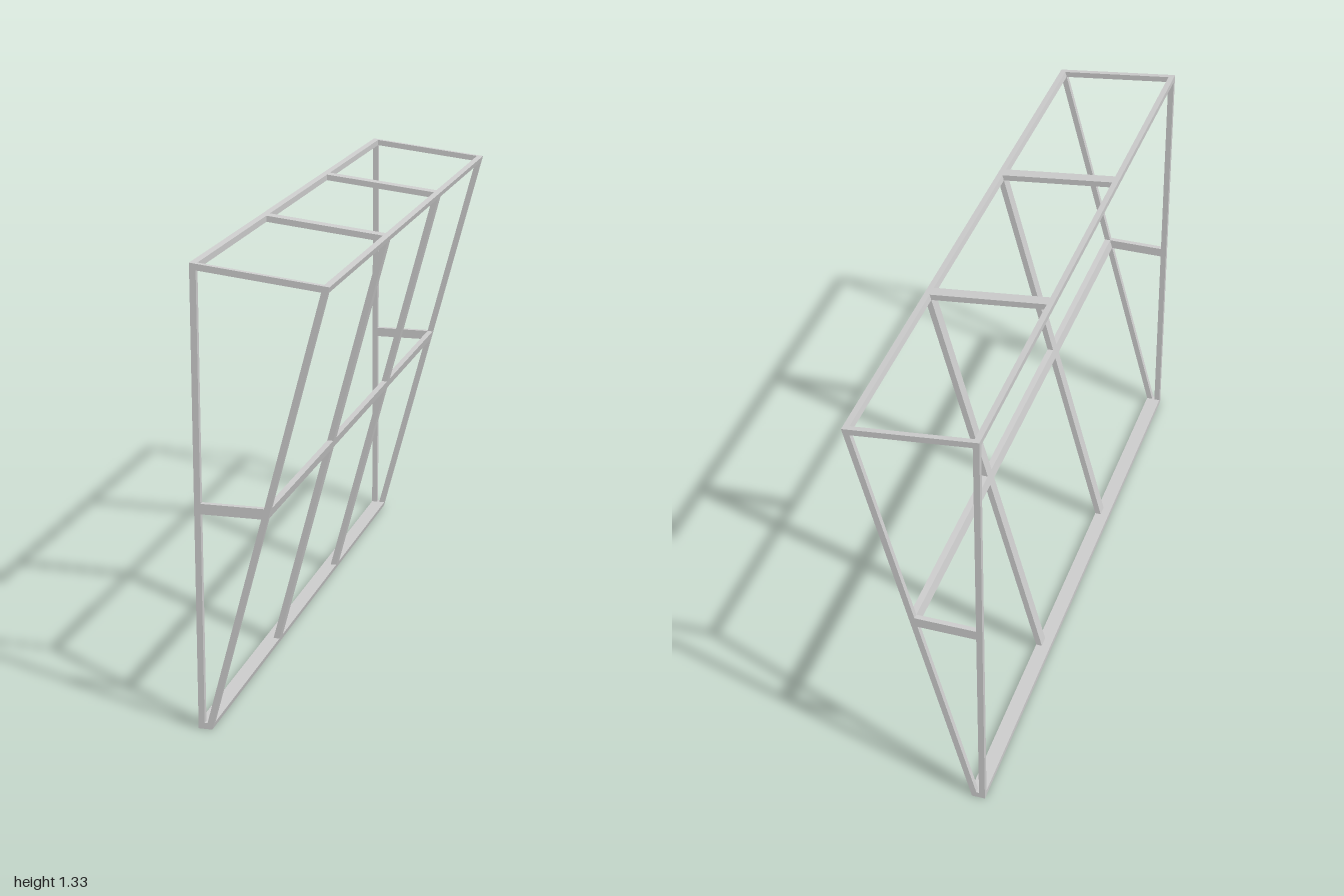
import * as THREE from 'three';

const L = -0.192;          // x of the upright back plane
const T = 0.018;           // bar thickness in the profile
const END = 0.016;         // depth of the end frames
const RIB_Z = 0.334, RIB_W = 0.036;
const MID_LOW = 0.634, MID_HIGH = 0.664;

// Leaning front edge, outer and inner, as x for a given y
const outer = y => -0.152 + 0.2665 * y;
const inner = y => outer(y) - T * 1.035;
// Sloping top edge, as y for a given x
const top = x => 1.333 - 0.115 * (x - L);
const under = x => top(x) - T;
// Where a leaning line crosses a top line
function cross(lean, roof) {
  let y = 1.29;
  for (let i = 0; i < 12; i++) y = roof(lean(y));
  return [lean(y), y];
}

export function createModel() {
  const group = new THREE.Group();
  const material = new THREE.MeshStandardMaterial({ color: 0xcccccc, flatShading: true });
  const toPoints = list => list.map(([x, y]) => new THREE.Vector2(x, y));

  // Extrudes a profile in x,y from z0 to z1
  function bar(name, outline, z0, z1, holes = []) {
    const shape = new THREE.Shape(toPoints(outline));
    for (const h of holes) shape.holes.push(new THREE.Path(toPoints(h)));
    const geometry = new THREE.ExtrudeGeometry(shape, { depth: z1 - z0, bevelEnabled: false });
    geometry.translate(0, 0, z0);
    const mesh = new THREE.Mesh(geometry, material);
    mesh.name = name;
    group.add(mesh);
  }

  const peak = cross(outer, top), innerPeak = cross(inner, under);
  const outerUnder = cross(outer, under), innerTop = cross(inner, top);
  const post = L + T;

  // End frames: wedge outline with an opening above and below the middle brace
  const wedge = [[L, 0], [outer(0), 0], peak, [L, top(L)]];
  const lower = [[post, T], [inner(T), T], [inner(MID_LOW), MID_LOW], [post, MID_LOW]];
  const upper = [[post, MID_HIGH], [inner(MID_HIGH), MID_HIGH], innerPeak, [post, under(post)]];
  for (const [name, z] of [['frontEndFrame', 1 - END], ['backEndFrame', -1]])
    bar(name, wedge, z, z + END, [lower, upper]);

  // Inner ribs: leaning post joined to a top bar
  const rib = [
    [inner(T), T], [outer(T), T], peak, [L, top(L)], [L, under(L)], innerPeak,
  ];
  for (const s of [1, -1])
    bar(s > 0 ? 'frontRib' : 'backRib', rib, s * RIB_Z - RIB_W / 2, s * RIB_Z + RIB_W / 2);

  // Sill along the whole foot
  bar('bottomRail', [[L, 0], [outer(0), 0], [outer(T), T], [L, T]], -1 + END, 1 - END);

  // Long rails, one length per bay
  const rails = {
    upperBackRail: [[L, under(L)], [post, under(post)], [post, top(post)], [L, top(L)]],
    upperFrontRail: [innerPeak, outerUnder, peak, innerTop],
    middleRail: [
      [inner(MID_LOW), MID_LOW], [outer(MID_LOW), MID_LOW],
      [outer(MID_HIGH), MID_HIGH], [inner(MID_HIGH), MID_HIGH],
    ],
  };
  const a = RIB_Z - RIB_W / 2, b = RIB_Z + RIB_W / 2;
  const bays = [[-1 + END, -b], [-a, a], [b, 1 - END]];
  for (const [name, profile] of Object.entries(rails))
    for (const [z0, z1] of bays) bar(name, profile, z0, z1);

  return group;
}
